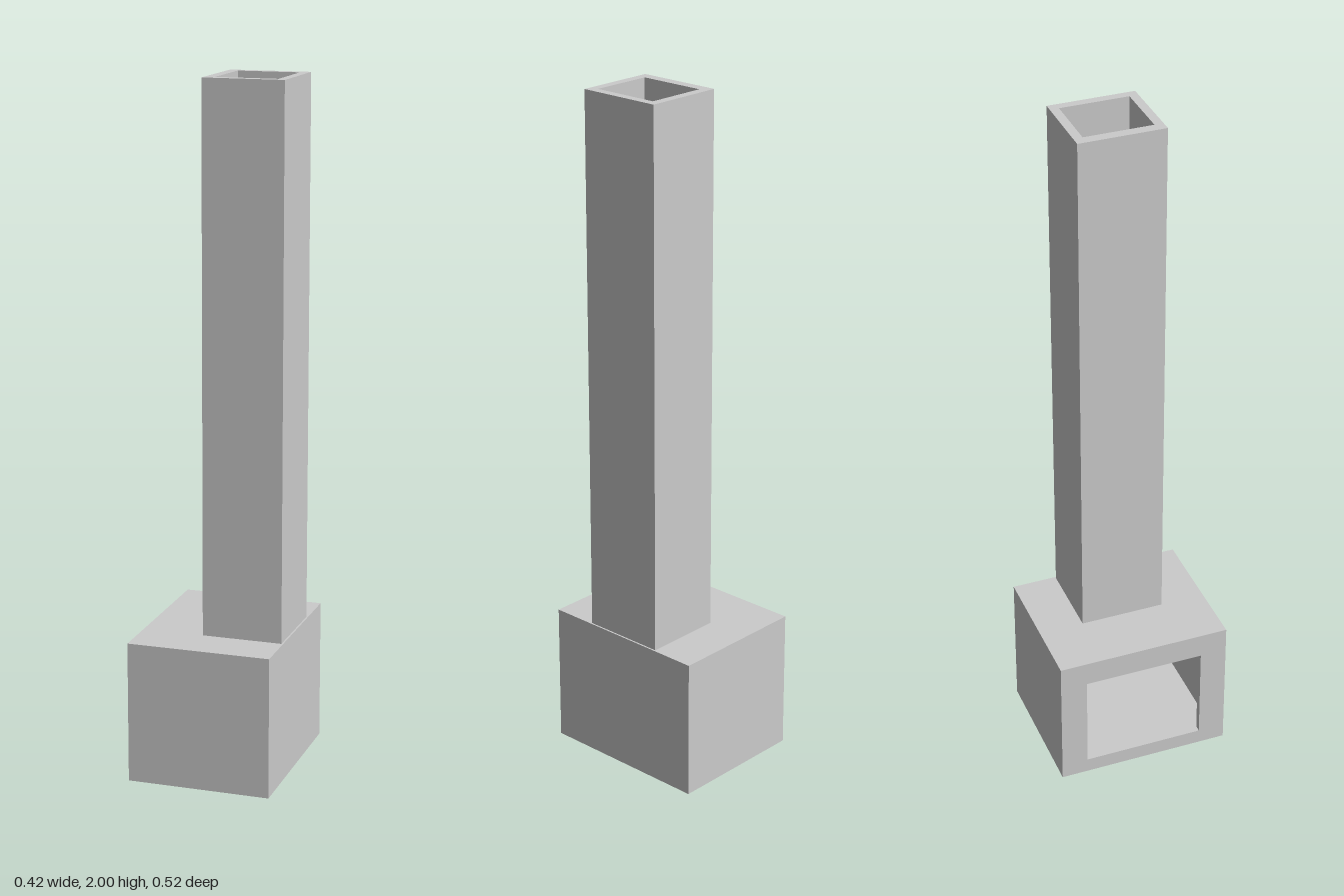
import * as THREE from 'three';

const material = new THREE.MeshStandardMaterial({ color: 0xcccccc, flatShading: true });

// Trace a rectangle a0..a1 by b0..b1 on a shape or path
function rect(path, [a0, a1, b0, b1]) {
  path.moveTo(a0, b0);
  path.lineTo(a1, b0);
  path.lineTo(a1, b1);
  path.lineTo(a0, b1);
  path.closePath();
  return path;
}

// Rectangular plate or tube with a rectangular hole, extruded along +z
function frameGeometry(outer, inner, depth) {
  const shape = rect(new THREE.Shape(), outer);
  shape.holes.push(rect(new THREE.Path(), inner));
  return new THREE.ExtrudeGeometry(shape, { depth, bevelEnabled: false });
}

// Box given by its limits on each axis
function boxGeometry(x0, x1, y0, y1, z0, z1) {
  return new THREE.BoxGeometry(x1 - x0, y1 - y0, z1 - z0)
    .translate((x0 + x1) / 2, (y0 + y1) / 2, (z0 + z1) / 2);
}

export function createModel() {
  const group = new THREE.Group();
  const add = (name, geometry, parent = group) => {
    const mesh = new THREE.Mesh(geometry, material);
    mesh.name = name;
    parent.add(mesh);
  };

  const X = 0.21, Z = 0.26, H = 0.415; // firebox half width, half depth, height
  const wall = 0.03, plate = 0.02;
  const flue = [0, 0.18, -0.1, 0.1];

  const firebox = new THREE.Group();
  firebox.name = 'firebox';
  group.add(firebox);

  // Floor, far wall and the two side walls
  add('floor', boxGeometry(-X + plate, X, 0, wall, -Z, Z), firebox);
  add('rearWall', boxGeometry(X - wall, X, wall, H - wall, -Z, Z), firebox);
  for (const [name, s] of [['leftWall', 1], ['rightWall', -1]]) {
    const mid = s * (Z - wall / 2);
    add(name, boxGeometry(-X + plate, X - wall, wall, H - wall, mid - wall / 2, mid + wall / 2), firebox);
  }

  // Top slab, pierced by the flue
  add('topSlab', frameGeometry([-X + plate, X, -Z, Z], flue, wall)
    .rotateX(-Math.PI / 2).translate(0, H - wall, 0), firebox);

  // Hearth opening plate on the -x side
  add('openingFrame', frameGeometry([-Z, Z, 0, H], [-0.18, 0.18, 0.045, 0.34], plate)
    .rotateY(-Math.PI / 2).translate(-X + plate, 0, 0), firebox);

  // Hollow chimney shaft
  add('chimney', frameGeometry([-0.03, 0.205, -0.126, 0.126], flue, 2 - H)
    .rotateX(-Math.PI / 2).translate(0, H, 0));

  return group;
}
